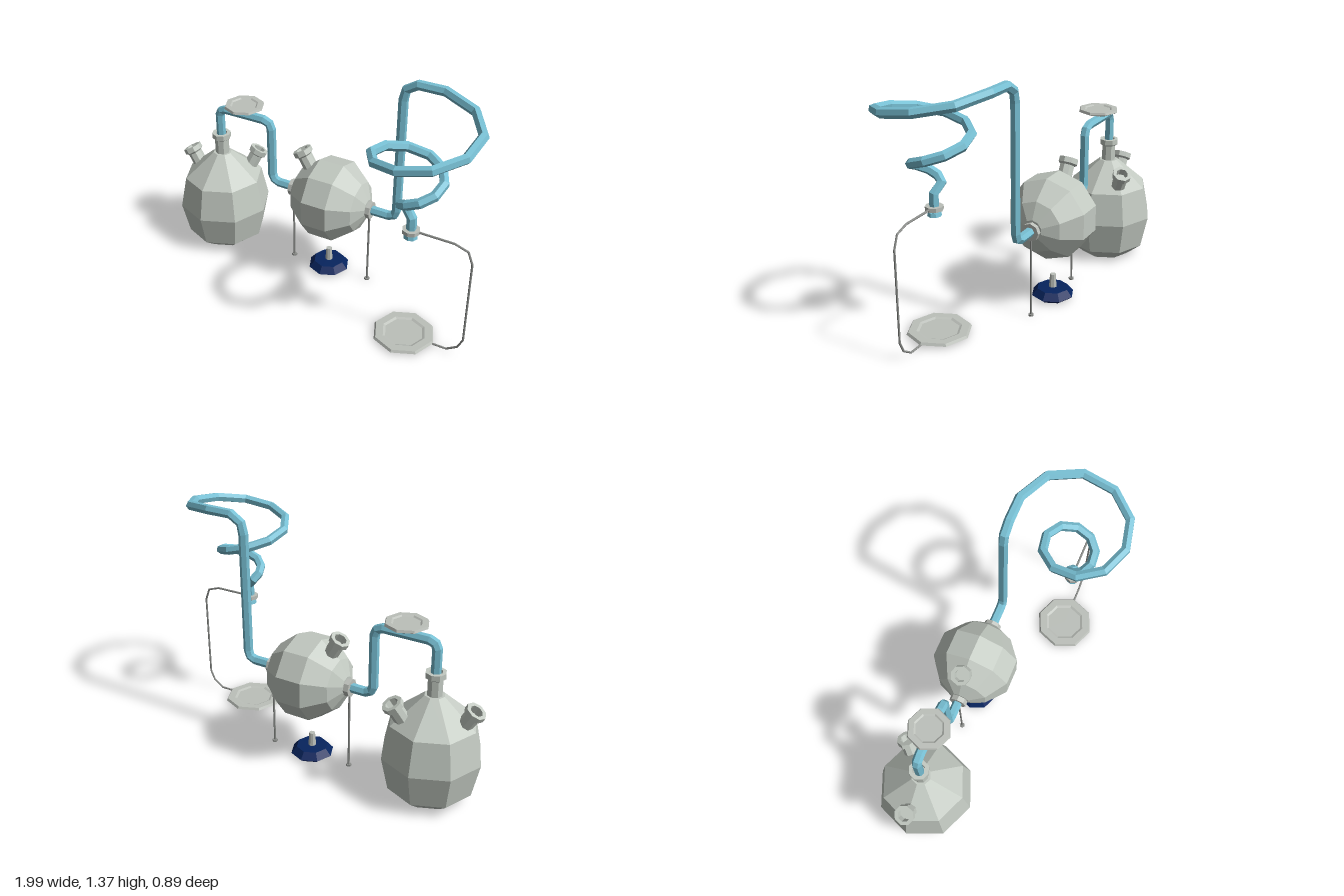
import * as THREE from 'three';

const flat = (name, color) => {
  const m = new THREE.MeshStandardMaterial({ color, flatShading: true, side: THREE.DoubleSide });
  m.name = name;
  return m;
};

// Curve made of straight pieces, one tube ring per point
class Polyline extends THREE.Curve {
  constructor(points) {
    super();
    this.points = points.map((p) => new THREE.Vector3(...p));
  }
  getPoint(t, target = new THREE.Vector3()) {
    const n = this.points.length - 1;
    const s = THREE.MathUtils.clamp(t, 0, 1) * n;
    const i = Math.min(Math.floor(s + 1e-7), n - 1);
    return target.lerpVectors(this.points[i], this.points[i + 1], s - i);
  }
  getPointAt(u, target) {
    return this.getPoint(u, target);
  }
  getTangentAt(u, target = new THREE.Vector3()) {
    const p = this.points, n = p.length - 1, i = Math.round(u * n);
    const a = i > 0 ? p[i].clone().sub(p[i - 1]).normalize() : new THREE.Vector3();
    const b = i < n ? p[i + 1].clone().sub(p[i]).normalize() : new THREE.Vector3();
    return target.copy(a.add(b).normalize());
  }
}

export function createModel() {
  const model = new THREE.Group();
  const glass = flat('glass', 0xc3cac2);
  const steel = flat('steel', 0xbcc0ba);
  const rodGrey = flat('rod grey', 0x8c8e8b);
  const blue = flat('blue tubing', 0x78c0d4);
  const navy = flat('navy', 0x07245e);
  const Z = -0.175;

  const add = (name, geometry, material, x = 0, y = 0, z = 0) => {
    const mesh = new THREE.Mesh(geometry, material);
    mesh.name = name;
    mesh.position.set(x, y, z);
    model.add(mesh);
    return mesh;
  };
  const lathe = (pts, sides = 8, start = 0) =>
    new THREE.LatheGeometry(pts.map((p) => new THREE.Vector2(...p)), sides, start);
  const tube = (name, pts, r, sides, material) =>
    add(name, new THREE.TubeGeometry(new Polyline(pts), pts.length - 1, r, sides), material);

  // Neck with a rimmed, recessed mouth, leaning by tilt towards azimuth
  const neckShape = lathe([[0.042, 0], [0.042, 0.105], [0.056, 0.115], [0.056, 0.145],
    [0.035, 0.145], [0.035, 0.1], [0, 0.1]]);
  const neck = (name, x, y, z, azimuth = 0, tilt = 0) => {
    add(name, neckShape, glass, x, y, z).rotation.set(0, azimuth, -tilt);
  };

  // Tall flask with three necks
  add('flask', lathe([[0, 0.005], [0.15, 0.005], [0.235, 0.075], [0.275, 0.265],
    [0.235, 0.455], [0.055, 0.61], [0, 0.61]]), glass, -0.72, 0, Z);
  neck('flaskNeck', -0.72, 0.595, Z);
  neck('flaskSideNeckRight', -0.875, 0.455, Z, Math.PI, 0.53);
  neck('flaskSideNeckBack', -0.61, 0.465, Z - 0.11, Math.PI / 4, 0.53);

  // Round vessel lying on its side, with a filler neck
  add('roundVessel', lathe([[0, -0.235], [0.055, -0.235], [0.146, -0.19], [0.236, -0.075],
    [0.236, 0.075], [0.146, 0.19], [0.055, 0.235], [0, 0.235]], 10, Math.PI / 2),
  glass, 0.022, 0.51, Z).rotation.z = -Math.PI / 2;
  neck('vesselNeck', -0.097, 0.655, Z, Math.PI, 0.53);

  // Collars on both sides of the vessel, each on a thin leg
  for (const x of [-0.227, 0.268]) {
    add('vesselCollar', new THREE.CylinderGeometry(0.05, 0.05, 0.03, 8), steel, x, 0.505, Z)
      .rotation.z = Math.PI / 2;
    add('leg', new THREE.CylinderGeometry(0.006, 0.006, 0.45, 6), rodGrey, x, 0.235, Z);
    add('legFoot', new THREE.CylinderGeometry(0.016, 0.016, 0.01, 6), rodGrey, x, 0.01, Z);
  }

  // Tube from flask to vessel
  tube('connectingTube', [[-0.72, 0.68, Z], [-0.72, 0.865, Z], [-0.708, 0.892, Z], [-0.675, 0.905, Z],
    [-0.42, 0.905, Z], [-0.383, 0.89, Z], [-0.37, 0.855, Z], [-0.37, 0.555, Z], [-0.357, 0.523, Z],
    [-0.325, 0.508, Z], [-0.2, 0.508, Z]], 0.027, 6, blue);

  // Shallow dish shape for the valve wheel and the receiving plate
  const dish = (r, h) => lathe([[0, 0], [r * 0.85, 0], [r, h * 0.4], [r * 0.95, h],
    [r * 0.7, h], [r * 0.62, h * 0.7], [0, h * 0.7]]);
  add('valveWheel', dish(0.118, 0.022), steel, -0.548, 0.952, Z);
  add('valveStem', new THREE.CylinderGeometry(0.018, 0.018, 0.06, 8), steel, -0.548, 0.93, Z);

  // Riser and tapering coil
  const cx = 0.655, cz = 0.16;
  const coil = [[0.25, 0.508, Z], [0.385, 0.508, Z], [0.42, 0.523, Z], [0.432, 0.56, Z],
    [0.432, 1.25, Z], [0.445, 1.31, Z], [0.51, 1.35, Z]];
  for (let i = 0; i <= 18; i++) {
    const a = (i * Math.PI) / 5, q = i / 2.5;
    const r = 0.335 - 0.04 * q;
    coil.push([cx + r * Math.sin(a), 1.35 - 0.071 * q, cz - r * Math.cos(a)]);
  }
  coil.push([cx, 0.79, cz + 0.005], [cx, 0.75, cz + 0.005], [cx, 0.68, cz + 0.005]);
  tube('coilTube', coil, 0.027, 6, blue);

  // Outlet below the coil
  add('outletCollar', new THREE.CylinderGeometry(0.048, 0.048, 0.022, 8), steel, cx, 0.715, cz + 0.005);
  add('outletTip', new THREE.CylinderGeometry(0.033, 0.038, 0.02, 8), blue, cx, 0.683, cz + 0.005);

  // Bent support rod and plate
  tube('supportRod', [[0.69, 0.717], [0.89, 0.715], [0.965, 0.69], [0.992, 0.62], [0.992, 0.115],
    [0.965, 0.055], [0.905, 0.015], [0.8, 0.015]].map(([x, y]) => [x, y, cz + 0.005]), 0.006, 6, rodGrey);
  add('receivingPlate', dish(0.175, 0.022), steel, cx, 0.008, cz + 0.003);

  // Burner
  add('burnerBase', lathe([[0.022, 0.05], [0.095, 0.006], [0.122, 0.027], [0.09, 0.065],
    [0, 0.068]]), navy, 0.012, 0, Z);
  add('burnerNozzle', new THREE.CylinderGeometry(0.017, 0.024, 0.1, 8), steel, 0.012, 0.095, Z);

  return model;
}
